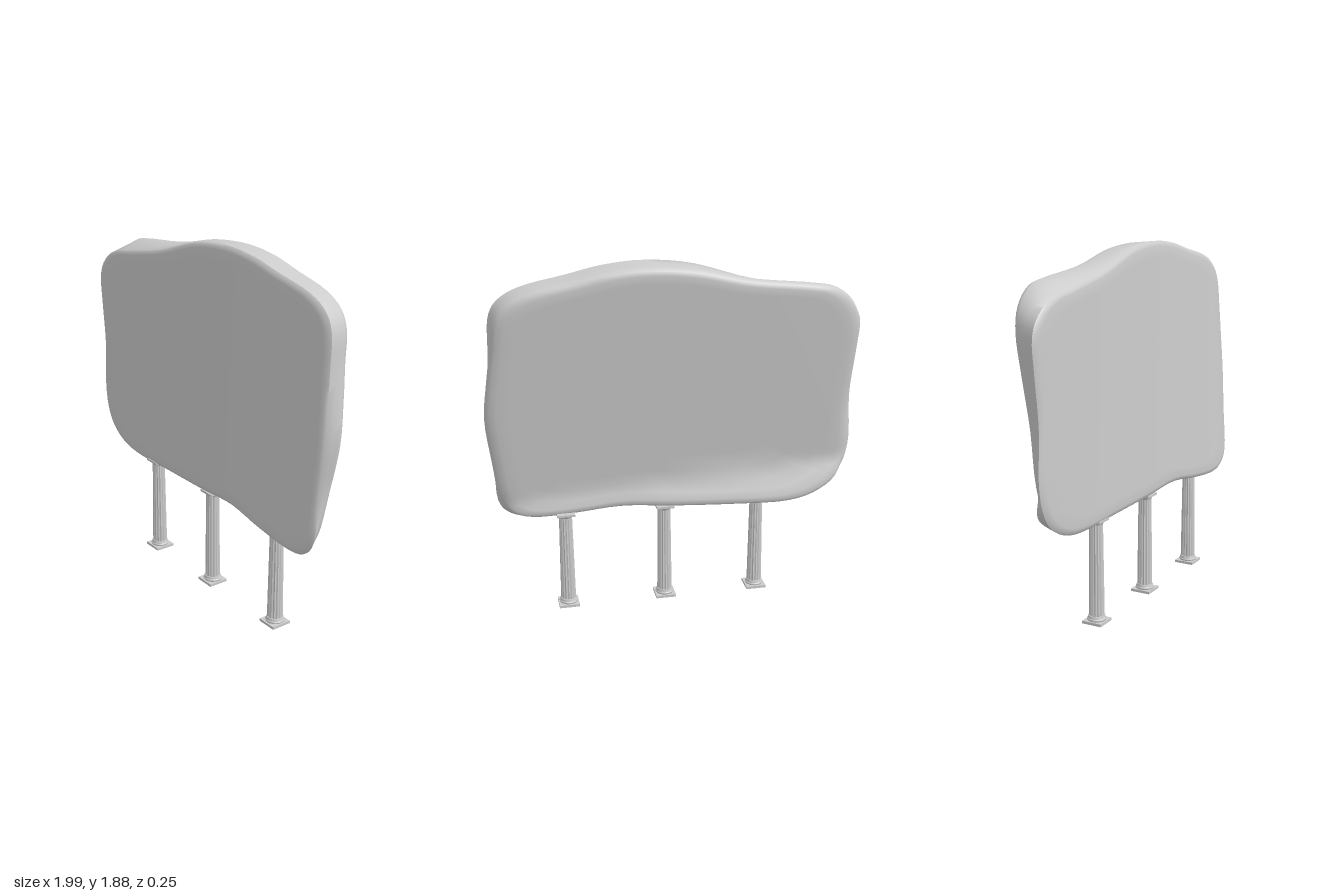
import * as THREE from 'three';
import { toCreasedNormals } from 'three/addons/utils/BufferGeometryUtils.js';

// Outlines counterclockwise seen from the front: front edge x, y, then back edge x, y
const OUTLINE = [
  [0.965, 1.10, 0.995, 1.10], [0.96, 1.30, 0.975, 1.30], [0.955, 1.47, 0.95, 1.47],
  [0.945, 1.63, 0.93, 1.62], [0.89, 1.72, 0.87, 1.71], [0.77, 1.78, 0.75, 1.77],
  [0.56, 1.825, 0.55, 1.815], [0.38, 1.865, 0.37, 1.855], [0.17, 1.882, 0.16, 1.872],
  [-0.08, 1.855, -0.08, 1.852], [-0.38, 1.765, -0.36, 1.79], [-0.66, 1.71, -0.67, 1.755],
  [-0.82, 1.68, -0.81, 1.725], [-0.93, 1.62, -0.91, 1.64], [-0.995, 1.52, -0.95, 1.52],
  [-0.985, 1.35, -0.945, 1.34], [-0.96, 1.10, -0.93, 1.08], [-0.97, 0.83, -0.94, 0.83],
  [-0.92, 0.66, -0.90, 0.67], [-0.80, 0.565, -0.78, 0.58], [-0.62, 0.53, -0.60, 0.535],
  [-0.30, 0.54, -0.30, 0.535], [0.02, 0.55, 0.02, 0.545], [0.30, 0.565, 0.30, 0.56],
  [0.55, 0.53, 0.55, 0.54], [0.77, 0.512, 0.76, 0.53], [0.89, 0.54, 0.88, 0.56],
  [0.95, 0.63, 0.94, 0.65], [0.955, 0.85, 0.97, 0.86],
];
const CENTRE_Y = 1.2;
const { lerp } = THREE.MathUtils;

// Gently twisted front and back surfaces of the slab
function frontZ(x, y) {
  const u = (x + 1) / 2, v = (y - 0.52) / 1.36;
  return lerp(lerp(0.07, 0.13, u), lerp(0.06, 0.042, u), v);
}
function backZ(x, y) {
  const u = (x + 1) / 2, v = (y - 0.75) / 1;
  const fold = lerp(0.77, 0.6, u); // below this line the back kicks outward
  return lerp(lerp(0.0, 0.03, u), lerp(-0.125, -0.105, u), v) - 0.5 * Math.max(0, fold - y);
}

function slabGeometry() {
  const n = 112;
  const sample = (a, b) => new THREE.CatmullRomCurve3(
    OUTLINE.map(p => new THREE.Vector3(p[a], p[b], 0)), true, 'catmullrom', 0.5);
  const front = sample(0, 1), back = sample(2, 3);
  // Each ring: side (0 front, 1 back), scale of the outline, depth below the surface
  const rings = [[0, 0.001, 0]];
  for (const s of [0.15, 0.3, 0.45, 0.6, 0.75, 0.88, 0.96]) rings.push([0, s, 0]);
  rings.push([0, 0.985, 0.004], [0, 1, 0.015], [0.5, 1, 0], [1, 1, 0.04], [1, 0.992, 0.02], [1, 0.975, 0.008]);
  for (const s of [0.94, 0.88, 0.8, 0.7, 0.55, 0.4, 0.2, 0.001]) rings.push([1, s, 0]);

  const pos = [], index = [];
  const point = (p, side, s, depth) => {
    const x = p.x * s, y = CENTRE_Y + (p.y - CENTRE_Y) * s;
    return new THREE.Vector3(x, y, side ? backZ(x, y) + depth : frontZ(x, y) - depth);
  };
  for (const [side, s, depth] of rings) {
    for (let j = 0; j < n; j++) {
      const f = front.getPoint(j / n), b = back.getPoint(j / n);
      const p = side === 0.5
        ? point(f, 0, 1, 0.015).lerp(point(b, 1, 1, 0.04), 0.5)
        : point(side ? b : f, side, s, depth);
      pos.push(p.x, p.y, p.z);
    }
  }
  for (let i = 0; i < rings.length - 1; i++) {
    for (let j = 0; j < n; j++) {
      const k = (j + 1) % n, a = i * n + j, b = (i + 1) * n + j, c = (i + 1) * n + k, d = i * n + k;
      index.push(a, b, c, a, c, d);
    }
  }
  const geo = new THREE.BufferGeometry();
  geo.setAttribute('position', new THREE.Float32BufferAttribute(pos, 3));
  geo.setIndex(index);
  return toCreasedNormals(geo, 0.8);
}

// Tapered shaft with hollow flutes
function flutedShaft() {
  const flutes = 16, steps = 4;
  const geo = new THREE.CylinderGeometry(0.035, 0.041, 0.49, flutes * steps, 1, true);
  const p = geo.attributes.position;
  for (let i = 0; i < p.count; i++) {
    const j = i % (flutes * steps + 1);
    const k = 1 - 0.1 * Math.sin(Math.PI * (j % steps) / steps);
    p.setX(i, p.getX(i) * k);
    p.setZ(i, p.getZ(i) * k);
  }
  return toCreasedNormals(geo, 0.5);
}

export function createModel() {
  const group = new THREE.Group();
  const stone = new THREE.MeshStandardMaterial({ color: 0xcccccc });
  stone.name = 'pale grey stone';

  const add = (parent, name, geo, y) => {
    const mesh = new THREE.Mesh(geo, stone);
    mesh.name = name;
    mesh.position.y = y;
    parent.add(mesh);
  };

  add(group, 'slab', slabGeometry(), 0);

  // Three fluted columns
  const plinth = new THREE.BoxGeometry(0.11, 0.014, 0.11);
  const ring = new THREE.TorusGeometry(0.042, 0.008, 8, 32).rotateX(Math.PI / 2);
  const collar = new THREE.CylinderGeometry(0.043, 0.046, 0.012, 32);
  const neck = new THREE.CylinderGeometry(0.044, 0.035, 0.014, 32);
  const cap = new THREE.BoxGeometry(0.095, 0.012, 0.095);
  const shaft = flutedShaft();
  for (const x of [-0.448, 0.067, 0.602]) {
    const column = new THREE.Group();
    column.name = 'column';
    column.position.set(x, 0, 0.04);
    add(column, 'plinth', plinth, 0.007);
    add(column, 'baseRing', ring, 0.021);
    add(column, 'baseCollar', collar, 0.034);
    add(column, 'shaft', shaft, 0.28);
    add(column, 'neck', neck, 0.528);
    add(column, 'capital', cap, 0.541);
    group.add(column);
  }
  return group;
}
